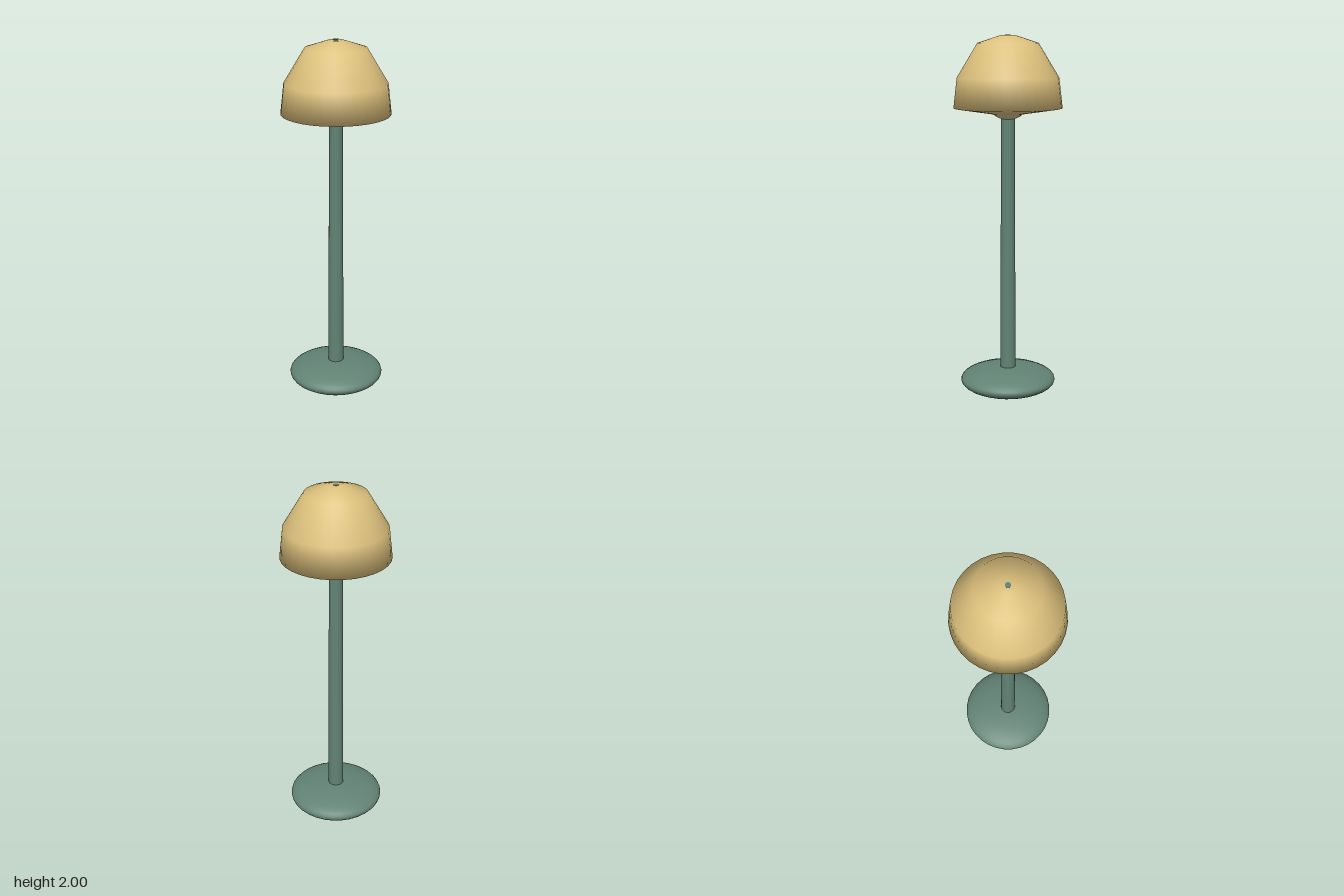
import * as THREE from 'three';

const gold = new THREE.MeshStandardMaterial({ name: 'gold', color: 0xdcc07c });
const green = new THREE.MeshStandardMaterial({ name: 'greyGreen', color: 0x628375 });
const beige = new THREE.MeshStandardMaterial({ name: 'warmBeige', color: 0xd3bfa0 });

export function createModel() {
  const lamp = new THREE.Group();
  lamp.name = 'floorLamp';

  const add = (name, geometry, material, y = 0) => {
    const mesh = new THREE.Mesh(geometry, material);
    mesh.name = name;
    mesh.position.y = y;
    lamp.add(mesh);
    return mesh;
  };

  // Flattened round foot
  add('base', new THREE.SphereGeometry(0.266, 32, 20).scale(1, 0.075 / 0.266, 1), green, 0.078);

  // Slightly tapered stem, running up into the shade
  add('pole', new THREE.CylinderGeometry(0.037, 0.044, 1.55, 24), green, 0.855);

  // Closed faceted-profile shade, smooth around and over its edges
  const profile = [
    [0, 1.57], [0.09, 1.58], [0.295, 1.612], [0.276, 1.775],
    [0.165, 1.957], [0.04, 1.998], [0, 1.998],
  ].map(([r, y]) => new THREE.Vector2(r, y));
  add('shade', new THREE.LatheGeometry(profile, 32), gold);

  // Rounded bulb showing under the shade
  add('bulb', new THREE.SphereGeometry(0.12, 24, 16), beige, 1.667);

  // Tip of the stem at the top of the shade
  add('topTip', new THREE.CylinderGeometry(0.0145, 0.0145, 0.008, 16), green, 1.996);

  return lamp;
}
